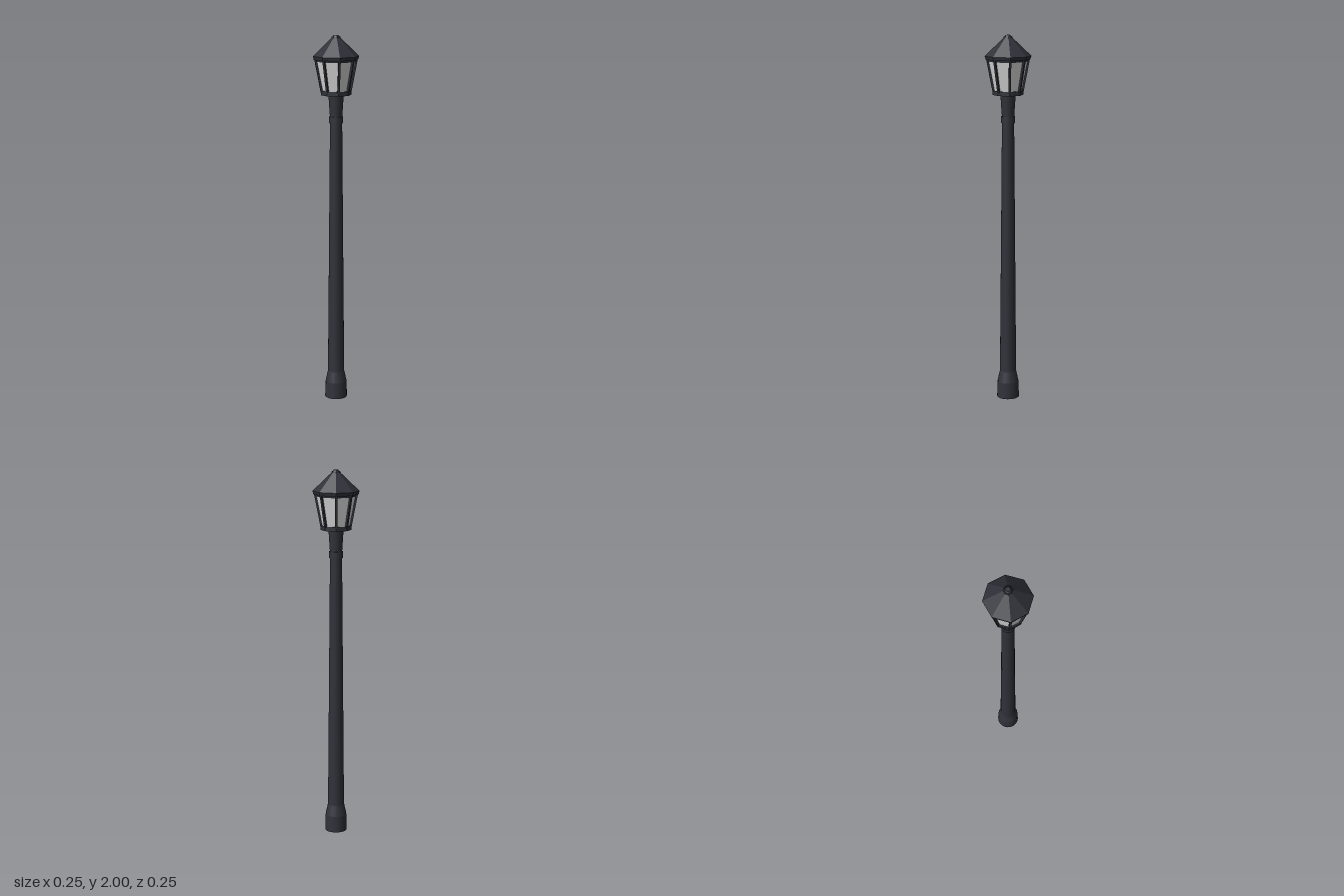
import * as THREE from 'three';

export function createModel() {
  const model = new THREE.Group();
  model.name = 'streetLamp';

  const metal = new THREE.MeshStandardMaterial({ color: 0x30323a });
  metal.name = 'dark metal';
  const glass = new THREE.MeshStandardMaterial({ color: 0xdadada });
  glass.name = 'frosted glass';

  function add(name, geometry, material, parent = model) {
    const mesh = new THREE.Mesh(geometry, material);
    mesh.name = name;
    parent.add(mesh);
    return mesh;
  }

  // Round smooth section between two heights
  function round(name, y0, r0, y1, r1) {
    const g = new THREE.CylinderGeometry(r1, r0, y1 - y0, 20);
    return add(name, g.translate(0, (y0 + y1) / 2, 0), metal);
  }

  // Eight-sided flat-faced section with corners on the axes
  function octagon(name, y0, r0, y1, r1, material = metal) {
    let g = new THREE.CylinderGeometry(r1, r0, y1 - y0, 8).toNonIndexed();
    g.computeVertexNormals();
    return add(name, g.translate(0, (y0 + y1) / 2, 0), material);
  }

  // Post
  round('base', 0, 0.061, 0.09, 0.058);
  round('baseTaper', 0.09, 0.058, 0.15, 0.045);
  round('pole', 0.15, 0.045, 1.6, 0.032);
  round('collar', 1.535, 0.037, 1.57, 0.037);
  round('neck', 1.57, 0.033, 1.69, 0.041);

  // Lantern
  octagon('lanternFloor', 1.685, 0.082, 1.708, 0.082);
  octagon('lanternGlass', 1.708, 0.075, 1.872, 0.107, glass);
  octagon('topRail', 1.862, 0.108, 1.876, 0.111);

  // Sloping bars along the glass corners
  const foot = new THREE.Vector3(0, 1.7, 0.076);
  const head = new THREE.Vector3(0, 1.876, 0.11);
  const lean = Math.atan2(head.z - foot.z, head.y - foot.y);
  for (let i = 0; i < 8; i++) {
    const bar = new THREE.BoxGeometry(0.012, foot.distanceTo(head), 0.012);
    bar.rotateX(lean);
    bar.translate(0, (foot.y + head.y) / 2, (foot.z + head.z) / 2);
    bar.rotateY((i * Math.PI) / 4);
    add('cornerBar', bar, metal);
  }

  // Roof
  octagon('eave', 1.872, 0.119, 1.89, 0.124);
  octagon('roof', 1.89, 0.124, 1.984, 0.025);
  octagon('roofCap', 1.984, 0.025, 1.992, 0.023);
  octagon('finial', 1.992, 0.019, 2.0, 0.012);

  return model;
}
